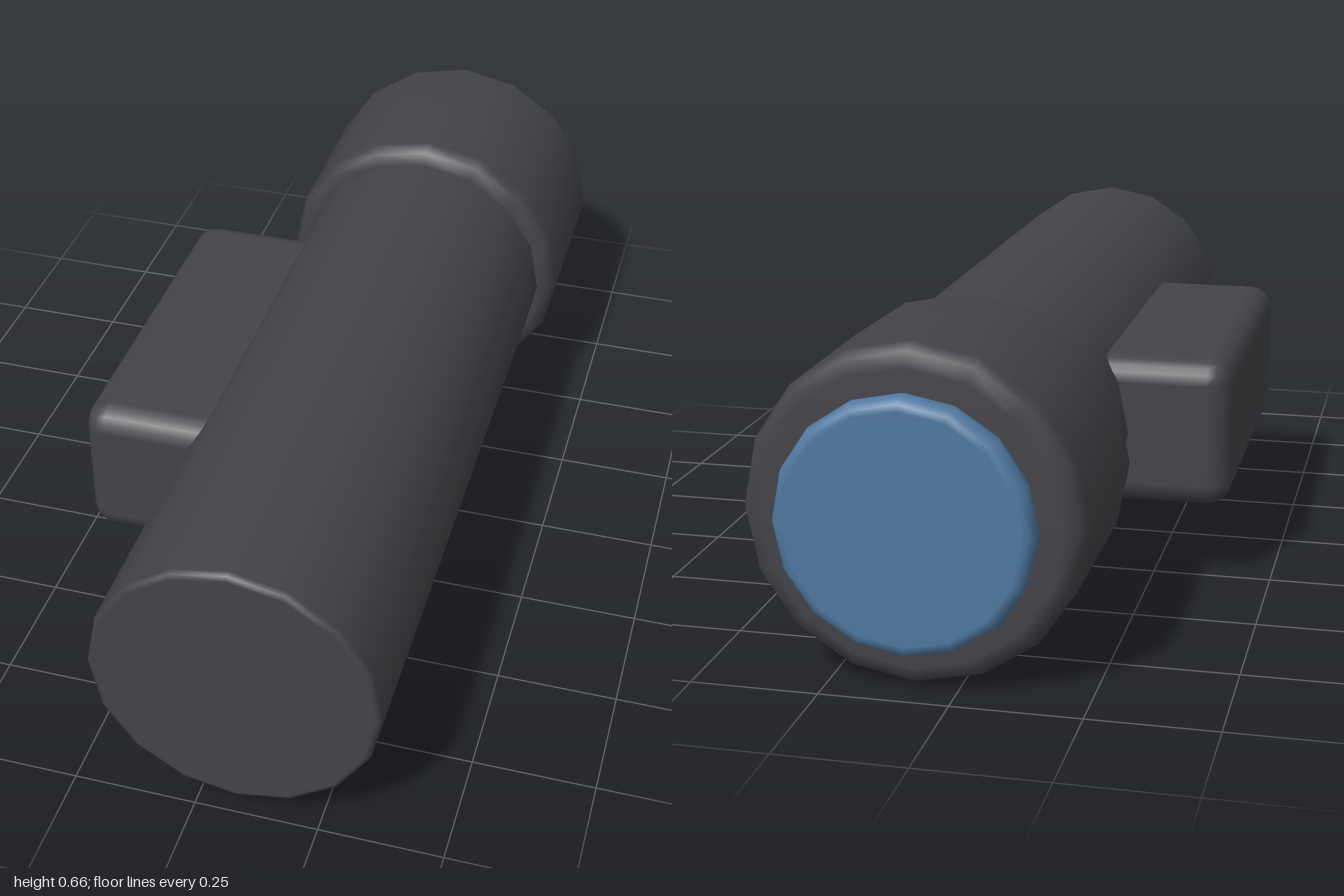
import * as THREE from 'three';
import { RoundedBoxGeometry } from 'three/addons/geometries/RoundedBoxGeometry.js';

const AXIS_X = 0.085, AXIS_Y = 0.33;

export function createModel() {
  const model = new THREE.Group();
  model.name = 'flashlight';

  const casing = new THREE.MeshStandardMaterial({ name: 'dark casing', color: 0x444348 });
  const glass = new THREE.MeshStandardMaterial({ name: 'blue lens', color: 0x4f78a0 });

  // Sixteen-sided solid lying along z, with rounded rims
  function roundedCylinder(name, radius, zBack, zFront, bevel, steps, material) {
    const profile = [new THREE.Vector2(0, zBack)];
    for (const end of [0, 1]) {
      for (let i = 0; i <= steps; i++) {
        const a = (end ? i : i - steps) / steps * Math.PI / 2;
        const z = (end ? zFront - bevel : zBack + bevel) + bevel * Math.sin(a);
        profile.push(new THREE.Vector2(radius - bevel + bevel * Math.cos(a), z));
      }
    }
    profile.push(new THREE.Vector2(0, zFront));
    const geometry = new THREE.LatheGeometry(profile, 16);
    geometry.rotateX(Math.PI / 2);
    const mesh = new THREE.Mesh(geometry, material);
    mesh.name = name;
    mesh.position.set(AXIS_X, AXIS_Y, 0);
    model.add(mesh);
  }

  roundedCylinder('barrel', 0.288, -0.6, 1, 0.014, 2, casing);
  roundedCylinder('head', 0.329, -0.945, -0.48, 0.042, 2, casing);
  roundedCylinder('lens', 0.248, -1, -0.94, 0.025, 3, glass);

  // Side block, sunk into the barrel
  const block = new THREE.Mesh(new RoundedBoxGeometry(0.48, 0.315, 0.79, 2, 0.05), casing);
  block.name = 'sideBlock';
  block.position.set(-0.415 + 0.24, 0.33, 0.075);
  model.add(block);

  return model;
}
